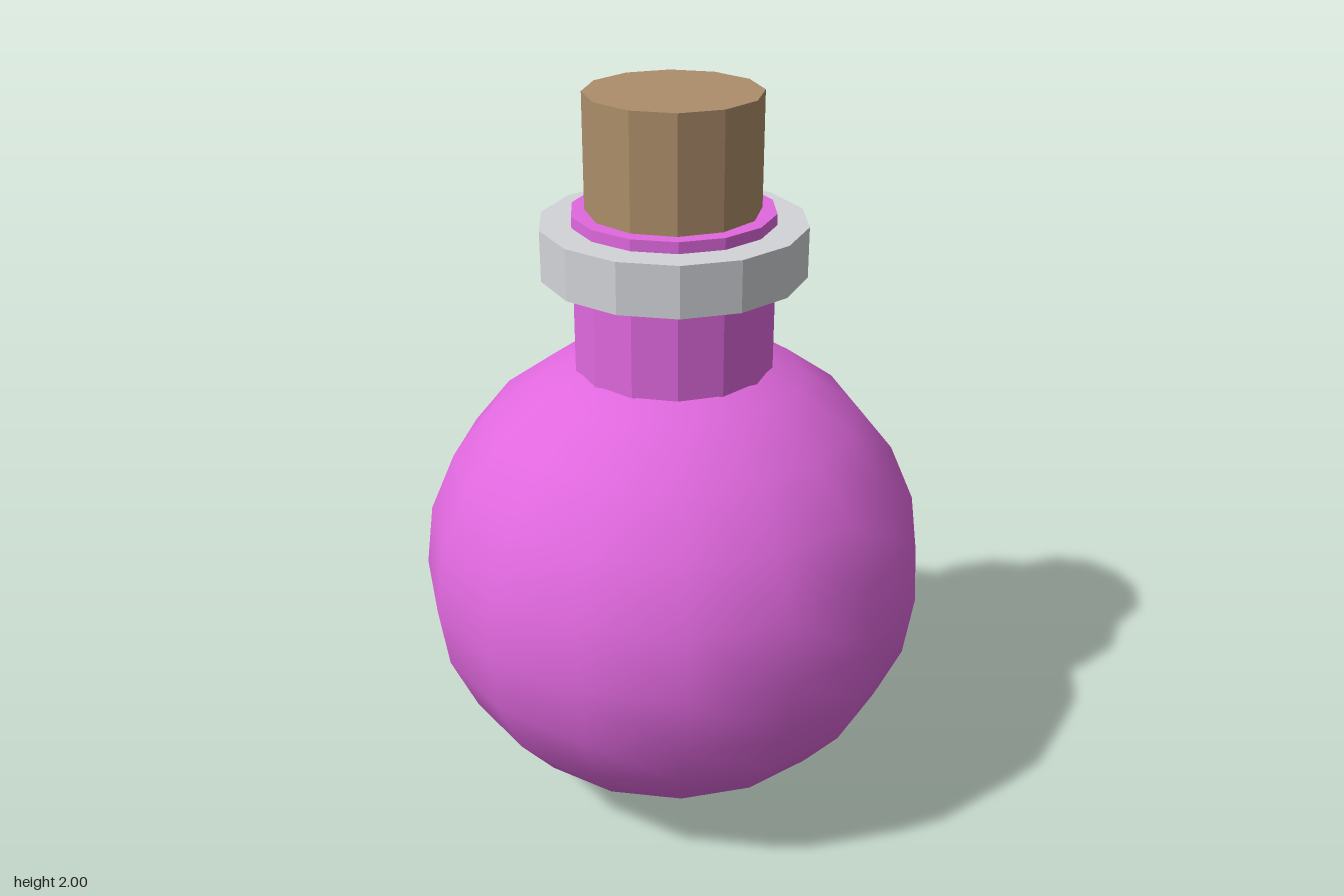
import * as THREE from 'three';

export function createModel() {
  const model = new THREE.Group();
  model.name = 'potionBottle';

  const makeMaterial = (name, color, flatShading) => {
    const m = new THREE.MeshStandardMaterial({ color, flatShading });
    m.name = name;
    return m;
  };
  // The pink is smooth; the turned parts have flat normals in their geometry
  const pink = makeMaterial('pinkGlass', 0xe068de, false);
  const grey = makeMaterial('greyMetal', 0xd2d4d8, true);
  const brown = makeMaterial('brownCork', 0xad8e6a, true);

  const add = (name, geometry, material) => {
    const mesh = new THREE.Mesh(geometry, material);
    mesh.name = name;
    model.add(mesh);
  };

  // Faceted upright prism between two heights
  const prism = (radius, bottom, top, sides) => {
    const g = new THREE.CylinderGeometry(radius, radius, top - bottom, sides).toNonIndexed();
    g.translate(0, (top + bottom) / 2, 0);
    g.computeVertexNormals();
    return g;
  };

  // Round body, slightly squashed
  const body = new THREE.SphereGeometry(0.7, 16, 12);
  body.scale(1, 0.668 / 0.7, 1);
  body.translate(0, 0.668, 0);
  add('body', body, pink);

  // Neck, collar and stopper
  add('neck', prism(0.267, 1.2, 1.7, 14), pink);
  add('collar', prism(0.35, 1.535, 1.67, 14), grey);
  add('cork', prism(0.228, 1.65, 2, 12), brown);

  return model;
}
